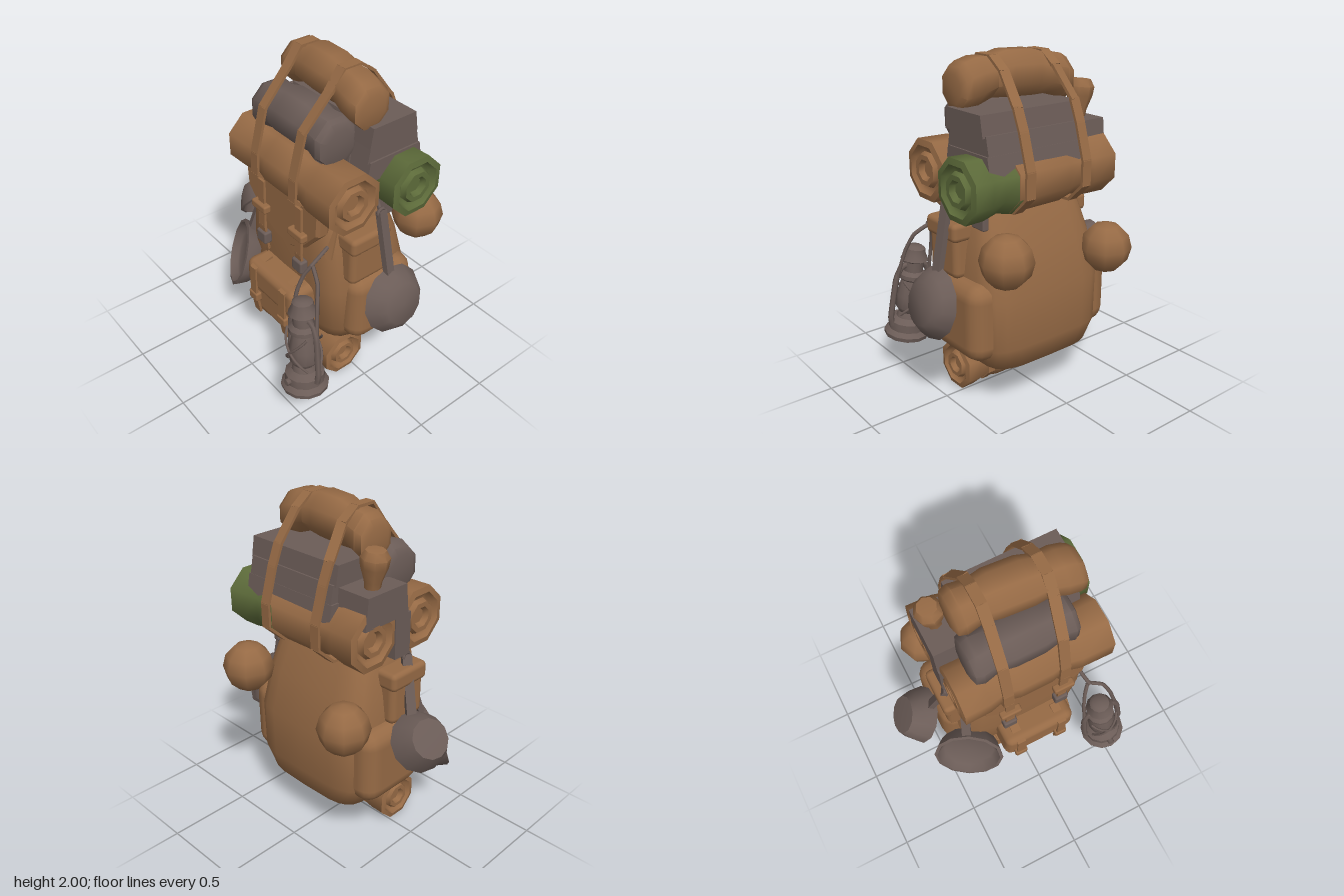
import * as THREE from 'three';
import { toCreasedNormals } from 'three/addons/utils/BufferGeometryUtils.js';
import { RoundedBoxGeometry } from 'three/addons/geometries/RoundedBoxGeometry.js';

const V = (x, y, z) => new THREE.Vector3(x, y, z);

export function createModel() {
  const model = new THREE.Group();
  const material = (name, color) => Object.assign(new THREE.MeshStandardMaterial({ color }), { name });
  const canvas = material('brown canvas', 0x966a45);
  const grey = material('grey metal and wool', 0x6b5c57);
  const green = material('green canvas', 0x5d6b3a);

  const add = (name, geo, mat, parent = model) => {
    const mesh = new THREE.Mesh(geo, mat);
    mesh.name = name;
    parent.add(mesh);
    return mesh;
  };
  const lathe = (pts, sides, crease = 0.9) =>
    toCreasedNormals(new THREE.LatheGeometry(pts.map(p => new THREE.Vector2(p[0], p[1])), sides), crease);
  const box = (name, mat, x0, x1, y0, y1, z0, z1, r = 0.03) => {
    const mesh = add(name, new RoundedBoxGeometry(x1 - x0, y1 - y0, z1 - z0, 2, r), mat);
    mesh.position.set((x0 + x1) / 2, (y0 + y1) / 2, (z0 + z1) / 2);
    return mesh;
  };
  // Flat bar between two points
  const bar = (name, mat, a, b, w, t) => {
    const mesh = add(name, new THREE.BoxGeometry(w, t, a.distanceTo(b) + t * 0.6), mat);
    mesh.position.copy(a).add(b).multiplyScalar(0.5);
    mesh.lookAt(b);
  };
  const strap = (name, pts, w = 0.06, t = 0.016) => {
    for (let i = 1; i < pts.length; i++) bar(name, canvas, pts[i - 1], pts[i], w, t);
  };
  const wire = (name, pts, r, parent) =>
    add(name, new THREE.TubeGeometry(new THREE.CatmullRomCurve3(pts, false, 'catmullrom', 0.2), 16, r, 6), grey, parent);

  // Roll along x with waists under the straps; ends are coiled or plain
  const roll = (name, mat, x0, x1, y, z, r, { waists = [], bend = 0, slope = 0, coil = true } = {}) => {
    const end = coil
      ? [[0, 0.03], [0.25, 0.03], [0.34, 0.0], [0.5, 0.0], [0.58, 0.03], [0.7, 0.025], [0.8, 0.0], [1, 0.008]]
      : [[0, 0], [0.6, 0.0], [0.88, 0.015], [0.96, 0.05]];
    const pts = end.map(([k, d]) => [k * r, x0 + d]);
    for (const w of waists) pts.push([r * 0.98, w - 0.09], [r * 0.86, w], [r * 0.98, w + 0.09]);
    pts.push(...end.slice().reverse().map(([k, d]) => [k * r, x1 - d]));
    const geo = new THREE.LatheGeometry(pts.map(p => new THREE.Vector2(...p)), 8, Math.PI / 8);
    geo.rotateZ(-Math.PI / 2);
    const p = geo.attributes.position;
    for (let i = 0; i < p.count; i++) {
      const t = (2 * p.getX(i) - x0 - x1) / (x1 - x0);
      p.setY(i, p.getY(i) + bend * (1 - t * t));
      p.setZ(i, p.getZ(i) + slope * t);
    }
    add(name, toCreasedNormals(geo, 0.9), mat).position.set(0, y, z);
  };

  // Main sack: rounded cross-sections [y, half width, back z, front z]
  const sections = [[0.24, 0.28, -0.32, 0.08], [0.27, 0.36, -0.37, 0.15], [0.4, 0.42, -0.4, 0.21], [0.7, 0.43, -0.4, 0.24],
    [0.95, 0.4, -0.34, 0.24], [1.14, 0.36, -0.27, 0.23], [1.28, 0.31, -0.2, 0.18]];
  const n = 24, pos = [], idx = [];
  for (const [y, w, b, f] of sections) for (let i = 0; i < n; i++) {
    const a = i / n * Math.PI * 2, c = Math.cos(a), s = Math.sin(a);
    pos.push(0.03 + w * Math.sign(c) * Math.abs(c) ** 0.45, y, (b + f) / 2 + (f - b) / 2 * Math.sign(s) * Math.abs(s) ** 0.45);
  }
  for (let j = 0; j < sections.length - 1; j++) for (let i = 0; i < n; i++) {
    const a = j * n + i, b = j * n + (i + 1) % n;
    idx.push(a, a + n, b, b, a + n, b + n);
  }
  const top = (sections.length - 1) * n;
  for (let i = 1; i < n - 1; i++) idx.push(0, i, i + 1, top, top + i + 1, top + i);
  const sack = new THREE.BufferGeometry();
  sack.setAttribute('position', new THREE.Float32BufferAttribute(pos, 3));
  sack.setIndex(idx);
  add('mainSack', toCreasedNormals(sack, 1), canvas);

  // Side pockets
  for (const s of [-1, 1]) {
    const side = (name, inner, outer, ...rest) =>
      s > 0 ? box(name, canvas, inner + 0.05, outer + 0.05, ...rest) : box(name, canvas, -outer + 0.01, -inner + 0.01, ...rest);
    side('lowerSidePocket', 0.26, 0.48, 0.33, 0.8, -0.34, 0.12, 0.1);
    side('upperSidePocket', 0.26, 0.45, 0.78, 1.1, -0.13, 0.13, 0.04);
    side('upperPocketFlap', 0.26, 0.465, 1.0, 1.11, -0.14, 0.14, 0.03);
  }

  // Top flap with pointed lower edge
  const flap = new THREE.Shape([[-0.27, 1.26], [-0.26, 1.14], [-0.13, 1.0], [-0.01, 0.93], [0.11, 0.92], [0.23, 0.98], [0.35, 1.12], [0.36, 1.26]]
    .map(p => new THREE.Vector2(...p)));
  add('topFlap', new THREE.ExtrudeGeometry(flap, { depth: 0.05, bevelSize: 0.015, bevelThickness: 0.02, bevelSegments: 1 }), canvas)
    .position.z = 0.2;
  // Flap straps with keepers and buckles
  for (const x of [-0.12, 0.22]) {
    strap('flapStrap', [V(x, 1.24, 0.28), V(x, 0.93, 0.285), V(x, 0.76, 0.265)], 0.055);
    box('strapKeeper', canvas, x - 0.065, x + 0.065, 1.045, 1.095, 0.265, 0.315, 0.012);
    box('strapBuckle', grey, x - 0.043, x + 0.043, 0.81, 0.89, 0.25, 0.305, 0.012);
    const tip = add('strapTip', new THREE.ConeGeometry(0.03, 0.06, 4), canvas);
    tip.position.set(x, 0.745, 0.263);
    tip.rotation.x = Math.PI;
    tip.scale.z = 0.4;
  }

  // Front pocket
  box('frontPocket', canvas, -0.17, 0.28, 0.31, 0.68, 0.15, 0.355, 0.05);
  box('frontPocketFlap', canvas, -0.18, 0.28, 0.5, 0.7, 0.16, 0.385, 0.05);
  for (const x of [-0.09, 0.19]) {
    strap('pocketStrap', [V(x, 0.71, 0.27), V(x, 0.67, 0.385), V(x, 0.48, 0.39), V(x, 0.33, 0.365)], 0.055);
    box('pocketBuckle', canvas, x - 0.04, x + 0.04, 0.43, 0.49, 0.36, 0.405, 0.012);
  }

  // Rolls
  roll('bottomRoll', canvas, -0.33, 0.39, 0.137, 0.07, 0.15, { waists: [-0.14, 0.21] });
  roll('frontRoll', canvas, -0.4, 0.51, 1.355, 0.135, 0.182, { waists: [-0.15, 0.22] });
  roll('backRoll', canvas, -0.41, 0.29, 1.345, -0.25, 0.18, { waists: [-0.16] });
  roll('greenRoll', green, 0.2, 0.57, 1.34, -0.25, 0.182, { waists: [0.36] });
  roll('greyRoll', grey, -0.29, 0.33, 1.61, 0.09, 0.152, { coil: false, bend: 0.03, waists: [-0.14, 0.2] });
  roll('topRoll', canvas, -0.28, 0.43, 1.815, -0.065, 0.137, { coil: false, bend: 0.06, slope: 0.03, waists: [-0.13, 0.22] });

  // Folded blankets, each layer narrower towards the top
  const blanket = (x0, x1, y0, y1, z0, z1, taper = 0.88) => {
    const geo = new THREE.BoxGeometry(x1 - x0, y1 - y0, z1 - z0);
    const p = geo.attributes.position;
    for (let i = 0; i < p.count; i++) if (p.getY(i) > 0) p.setZ(i, p.getZ(i) * taper);
    geo.computeVertexNormals();
    add('foldedBlanket', geo, grey).position.set((x0 + x1) / 2, (y0 + y1) / 2, (z0 + z1) / 2);
  };
  blanket(-0.41, 0.3, 1.42, 1.6, -0.32, 0.01);
  blanket(-0.41, 0.3, 1.18, 1.43, -0.09, 0.03, 1);
  blanket(-0.21, 0.45, 1.4, 1.52, -0.385, 0.01);
  blanket(-0.2, 0.44, 1.515, 1.62, -0.36, 0.0);
  blanket(-0.21, 0.455, 1.61, 1.725, -0.33, 0.0);
  box('greyTab', grey, 0.36, 0.4, 1.08, 1.24, -0.25, -0.14, 0.01);

  // Small flask beside the blankets
  const flask = add('flask', lathe([[0, 0], [0.04, 0], [0.048, 0.07], [0.074, 0.15], [0.08, 0.2], [0.055, 0.24], [0, 0.245]], 8), canvas);
  flask.position.set(-0.32, 1.57, -0.18);
  flask.rotation.z = 0.1;

  // Long straps over the stacked load
  for (const [xf, xt, xb] of [[-0.14, -0.13, -0.16], [0.2, 0.22, 0.23]]) {
    const path = [[1.19, 0.08], [1.2, 0.21], [1.29, 0.305], [1.42, 0.3], [1.68, 0.235], [1.87, 0.08], [1.975, 0.0], [1.975, -0.11],
      [1.91, -0.2], [1.74, -0.325], [1.62, -0.375], [1.42, -0.435], [1.28, -0.435], [1.18, -0.33], [1.17, -0.2]];
    strap('loadStrap', path.map(([y, z], i) => V(i < 5 ? xf : i < 9 ? xt : xb, y, z)));
  }
  // Straps round the bottom roll
  for (const x of [-0.14, 0.21]) {
    const ring = [];
    for (let i = 0; i <= 8; i++) {
      const a = (i + 0.5) * Math.PI / 4;
      ring.push(V(x, 0.137 + 0.134 * Math.sin(a), 0.07 + 0.134 * Math.cos(a)));
    }
    strap('bottomStrap', ring, 0.045, 0.014);
  }

  // Round pouches on the back
  for (const [x, y, z] of [[0.4, 0.98, -0.45], [-0.35, 0.87, -0.42]])
    add('backPouch', new THREE.SphereGeometry(0.15, 8, 6), canvas).position.set(x, y, z);

  // Pans: rim centre, opening direction, radius, depth, floor width, handle ends
  const pan = (c, dir, r, d, floor, h0, h1) => {
    const bowl = add('panBowl', lathe([[0, -d], [r * floor, -d * 0.95], [r * (0.5 + floor / 2), -d * 0.6], [r, 0], [r * 0.91, 0.005],
      [r * (0.4 + floor / 2), -d * 0.4], [r * floor * 0.9, -d * 0.5], [0, -d * 0.5]], 12), grey);
    bowl.position.copy(c);
    bowl.quaternion.setFromUnitVectors(V(0, 1, 0), dir.normalize());
    bar('panHandle', grey, h0, h1, 0.055, 0.035);
    const ring = add('panHook', new THREE.TorusGeometry(0.025, 0.01, 6, 10), grey);
    ring.position.copy(h1);
    ring.rotation.y = Math.PI / 2;
    wire('panHanger', [h1, V(h1.x * 0.92, h1.y + 0.06, h1.z)], 0.012);
  };
  pan(V(0.61, 0.67, -0.08), V(-0.97, -0.24, 0), 0.205, 0.1, 0.6, V(0.58, 0.84, -0.07), V(0.5, 1.22, -0.06));
  pan(V(-0.405, 0.54, 0.285), V(-0.45, 0.32, 0.83), 0.215, 0.1, 0.8, V(-0.37, 0.72, 0.2), V(-0.32, 1.06, 0.1));
  pan(V(-0.555, 0.7, -0.04), V(0.77, -0.58, 0.2), 0.175, 0.145, 0.65, V(-0.49, 0.83, -0.03), V(-0.39, 1.15, 0.03));
  strap('sideStrap', [V(-0.34, 1.25, 0.1), V(-0.32, 1.06, 0.1)], 0.04);
  strap('sideStrap', [V(0.36, 1.25, 0.12), V(0.38, 0.96, 0.2)], 0.04);

  // Lantern, leaning slightly
  const lantern = new THREE.Group();
  lantern.name = 'lantern';
  lantern.position.set(0.49, 0.225, 0.455);
  lantern.rotation.set(-0.07, 0, 0.12);
  model.add(lantern);
  add('lanternBody', lathe([[0, 0], [0.135, 0], [0.14, 0.025], [0.115, 0.05], [0.115, 0.1], [0.075, 0.125], [0.065, 0.16], [0.085, 0.19],
    [0.088, 0.27], [0.065, 0.37], [0.085, 0.385], [0.085, 0.41], [0.06, 0.43], [0.06, 0.49], [0.085, 0.505], [0.065, 0.545],
    [0.06, 0.575], [0.04, 0.59], [0, 0.592]], 12, 0.7), grey, lantern);
  for (const s of [-1, 1]) {
    wire('lanternSideTube', [V(s * 0.11, 0.08, 0), V(s * 0.125, 0.14, 0), V(s * 0.115, 0.38, 0), V(s * 0.085, 0.46, 0), V(s * 0.04, 0.47, 0)], 0.018, lantern);
    wire('lanternBail', [V(s * 0.115, 0.36, 0), V(s * 0.09, 0.58, -0.03), V(s * 0.06, 0.69, -0.06), V(-0.02, 0.76, -0.09)], 0.012, lantern);
    for (const start of [0, Math.PI]) {
      const guard = [];
      for (let i = 0; i <= 6; i++) {
        const a = start + s * (i / 6 - 0.5) * 2.2 + Math.PI / 2;
        guard.push(V(0.1 * Math.cos(a), 0.16 + i * 0.037, 0.1 * Math.sin(a)));
      }
      wire('globeGuard', guard, 0.008, lantern);
    }
  }
  const knob = add('wickKnob', new THREE.CylinderGeometry(0.02, 0.02, 0.03, 8), grey, lantern);
  knob.position.set(0, 0.08, 0.12);
  knob.rotation.x = Math.PI / 2;
  wire('lanternHanger', [V(0.385, 0.97, 0.33), V(0.37, 0.99, 0.26), V(0.36, 1.02, 0.19)], 0.012);

  return model;
}
